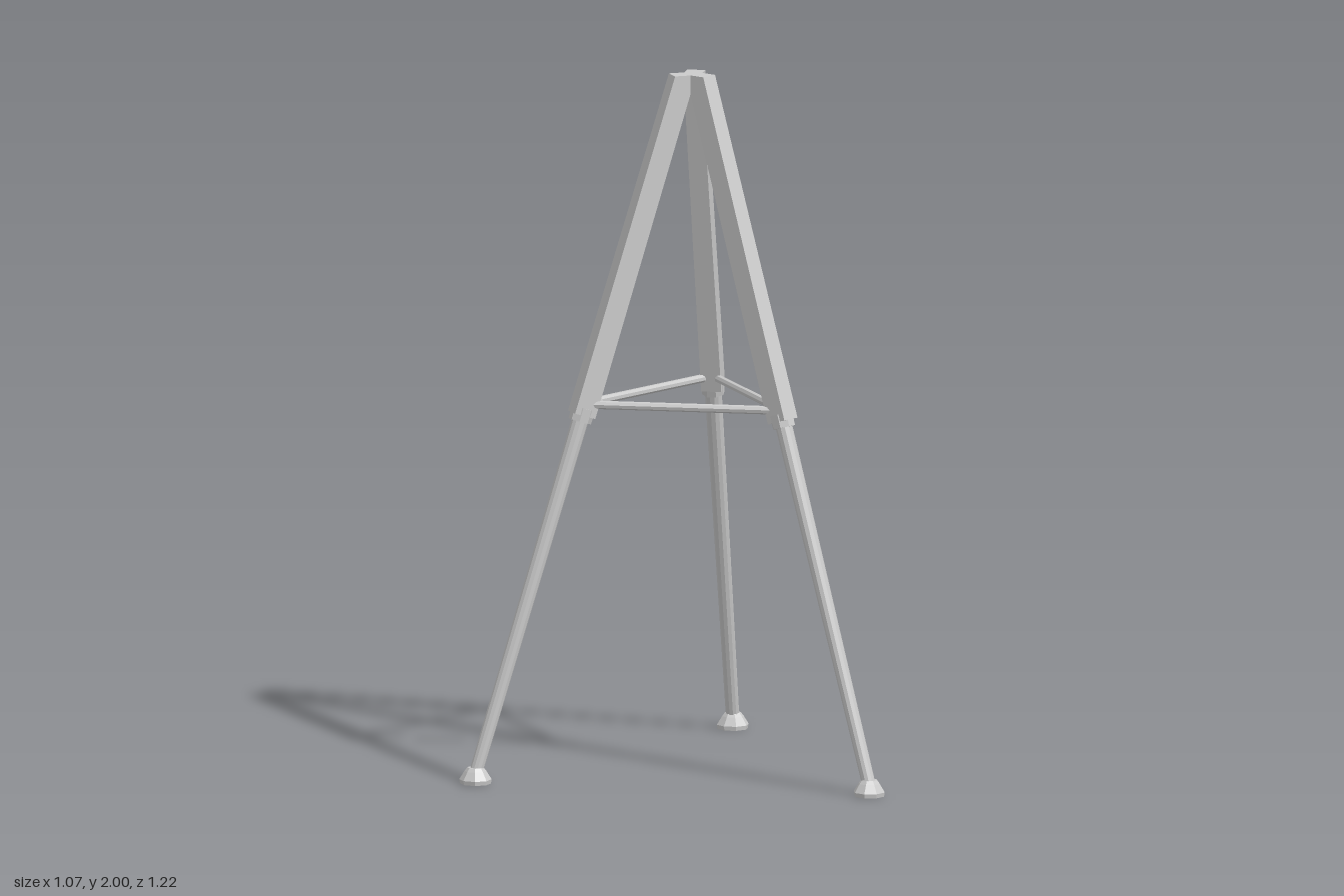
import * as THREE from 'three';

const SLOPE = 0.316;      // outward run of a leg per unit of drop
const TOP_R = 0.03;       // leg axis distance from the hub at y = 2
const axisR = (y) => TOP_R + (2 - y) * SLOPE;
const material = new THREE.MeshStandardMaterial({ color: 0xcccccc, flatShading: true });

function add(parent, name, geometry) {
  const mesh = new THREE.Mesh(geometry, material);
  mesh.name = name;
  parent.add(mesh);
  return mesh;
}

// Cylinder running from point a to point b
function rod(parent, name, a, b, ra, rb, sides) {
  const dir = b.clone().sub(a);
  const geo = new THREE.CylinderGeometry(rb, ra, dir.length(), sides);
  geo.rotateY(Math.PI / sides);
  const mesh = add(parent, name, geo);
  mesh.position.copy(a).add(b).multiplyScalar(0.5);
  mesh.quaternion.setFromUnitVectors(new THREE.Vector3(0, 1, 0), dir.normalize());
  return mesh;
}

const onAxis = (y) => new THREE.Vector3(axisR(y), y, 0);

// Leaning rectangular beam: level at the top, cut square at the bottom
function beamGeometry() {
  const geo = new THREE.BoxGeometry(1, 1, 1);
  const p = geo.attributes.position;
  for (let i = 0; i < p.count; i++) {
    const top = p.getY(i) > 0;
    const dx = p.getX(i) * (top ? 0.063 : 0.064);
    const dz = p.getZ(i) * (top ? 0.052 : 0.058);
    if (top) p.setXYZ(i, TOP_R + dx, 2, dz);
    else p.setXYZ(i, axisR(1.04) + dx * 0.95, 1.04 + dx * 0.3, dz);
  }
  geo.computeVertexNormals();
  return geo;
}

function makeLeg() {
  const leg = new THREE.Group();
  add(leg, 'upperBeam', beamGeometry());
  rod(leg, 'collar', onAxis(1.022), onAxis(1.06), 0.033, 0.034, 8);
  rod(leg, 'lowerTube', onAxis(0.03), onAxis(1.04), 0.019, 0.024, 12);

  // Eight-sided flared foot
  const profile = [[0, 0], [0.044, 0], [0.046, 0.012], [0.031, 0.036], [0.023, 0.046], [0, 0.046]]
    .map(([r, y]) => new THREE.Vector2(r, y));
  const foot = add(leg, 'foot', new THREE.LatheGeometry(profile, 8, Math.PI / 8));
  foot.position.x = 0.653;
  return leg;
}

export function createModel() {
  const model = new THREE.Group();
  model.name = 'tripod';
  const hub = new THREE.Group();
  hub.name = 'legAssembly';
  hub.position.x = -0.163;
  model.add(hub);

  const corner = (i) => {
    const a = (i * Math.PI * 2) / 3;
    return new THREE.Vector3(Math.cos(a) * 0.335, 1.07, -Math.sin(a) * 0.335);
  };
  ['leftLeg', 'backLeg', 'frontLeg'].forEach((name, i) => {
    const leg = makeLeg();
    leg.name = name;
    leg.rotation.y = (i * Math.PI * 2) / 3;
    hub.add(leg);
    // Horizontal brace to the next leg
    rod(hub, 'brace', corner(i), corner(i + 1), 0.012, 0.012, 8);
  });
  return model;
}
